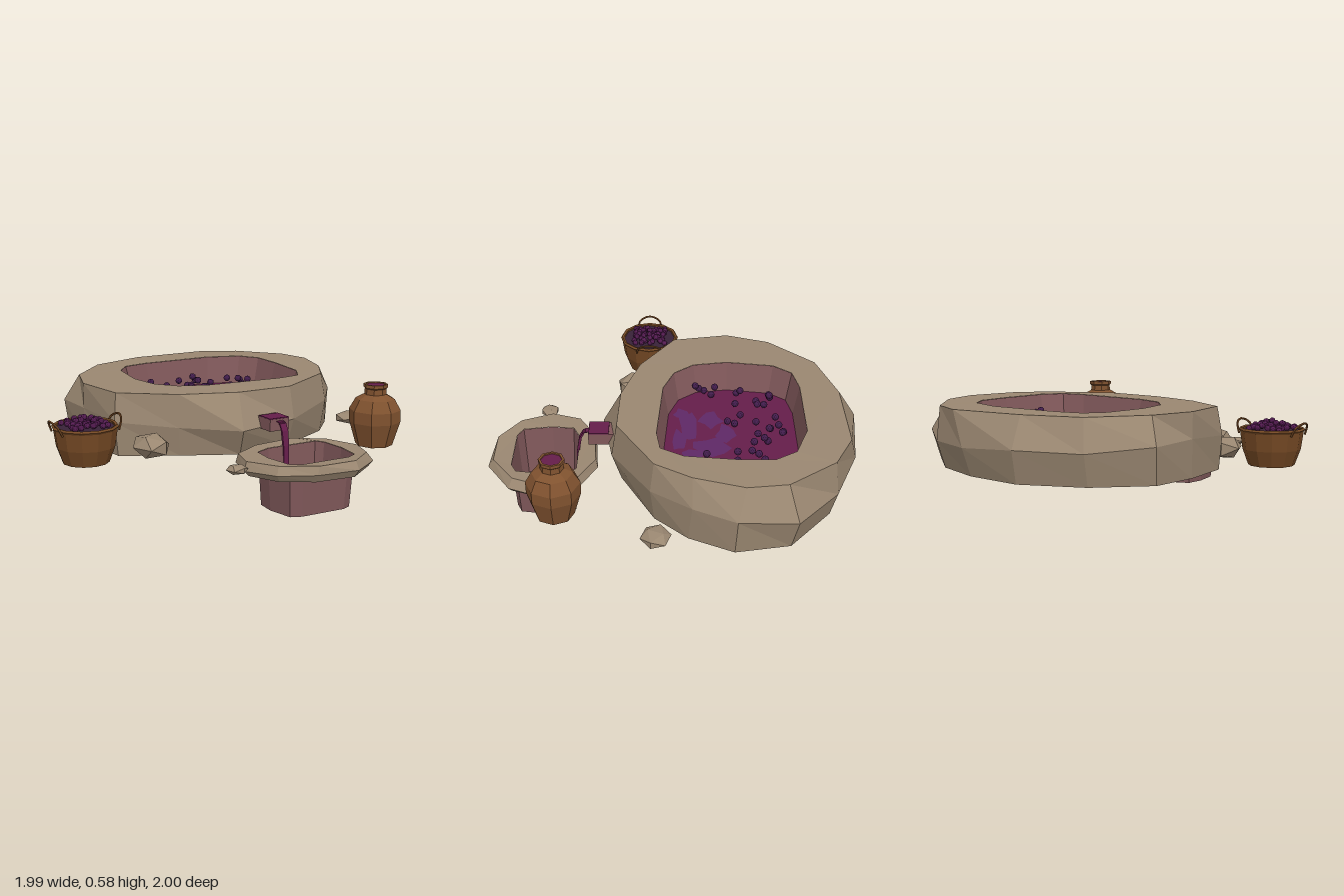
import * as THREE from 'three';

const mat = (name, color, side = THREE.DoubleSide) =>
  new THREE.MeshStandardMaterial({ name, color, side, flatShading: true });

// Joins [x, y, z] loops of equal length; optionally closes the last one.
function loft(loops, cap = false) {
  const pos = [];
  const n = loops[0].length;
  for (let k = 0; k + 1 < loops.length; k++) {
    for (let i = 0; i < n; i++) {
      const j = (i + 1) % n;
      const a = loops[k][i], b = loops[k][j], c = loops[k + 1][j], d = loops[k + 1][i];
      pos.push(...a, ...d, ...c, ...a, ...c, ...b);
    }
  }
  if (cap) {
    const last = loops[loops.length - 1];
    const mid = [0, 1, 2].map(q => last.reduce((s, p) => s + p[q], 0) / n);
    last.forEach((p, i) => pos.push(...mid, ...last[(i + 1) % n], ...p));
  }
  const g = new THREE.BufferGeometry();
  g.setAttribute('position', new THREE.Float32BufferAttribute(pos, 3));
  g.computeVertexNormals();
  return g;
}

// Lifts a flat [x, z] outline to a height, with a little unevenness.
const at = (outline, y, wobble = 0) =>
  outline.map(([x, z], i) => [x, y + wobble * Math.sin(i * 5.3), z]);
const scaled = (outline, s, cx, cz) =>
  outline.map(([x, z]) => [cx + (x - cx) * s, cz + (z - cz) * s]);

function seeded(seed) {
  return () => (seed = (seed * 16807) % 2147483647) / 2147483647;
}

export function createModel() {
  const root = new THREE.Group();
  root.name = 'winePress';
  const stone = mat('stone', 0x9a8771);
  const plaster = mat('basinPlaster', 0x80585a);
  const juice = mat('juice', 0x651d4a);
  const foam = mat('juiceSheen', 0x5e2866);
  const grape = mat('darkGrape', 0x421d4c);
  const redGrape = mat('redGrape', 0x551c52);
  const clay = mat('clay', 0x80522f);
  const wicker = mat('wicker', 0x754924);
  const shade = mat('basketFilling', 0x382238);

  const add = (name, geometry, material, x = 0, y = 0, z = 0, parent = root) => {
    const m = new THREE.Mesh(geometry, material);
    m.name = name;
    m.position.set(x, y, z);
    parent.add(m);
    return m;
  };

  // Treading vat: an open-bottomed stone ring with a plastered basin
  const vatBottom = [[0, -.96], [.35, -.92], [.66, -.8], [.92, -.58], [.97, -.3], [.86, -.07], [.7, .1],
    [.35, .28], [.02, .32], [-.27, .18], [-.56, .02], [-.6, -.3], [-.58, -.58], [-.34, -.82]];
  const vatMid = [[-.01, -1], [.37, -.96], [.69, -.83], [.96, -.61], [.99, -.31], [.89, -.09], [.72, .12],
    [.36, .33], [0, .39], [-.29, .2], [-.58, .02], [-.61, -.31], [-.6, -.61], [-.35, -.86]];
  const vatTop = [[.02, -.9], [.48, -.91], [.68, -.81], [.87, -.56], [.9, -.35], [.82, -.09], [.7, .1],
    [.35, .3], [.03, .29], [-.28, .19], [-.56, 0], [-.61, -.31], [-.53, -.55], [-.3, -.8]];
  const vatInner = [[-.03, -.69], [.4, -.69], [.59, -.62], [.66, -.51], [.66, -.32], [.63, -.05], [.56, .07],
    [.42, .09], [-.02, .06], [-.18, 0], [-.27, -.11], [-.3, -.3], [-.26, -.56], [-.18, -.66]];
  const vatFloor = scaled(vatInner, 0.9, .18, -.3);
  add('vatStone', loft([at(vatBottom, .21), at(vatMid, .385, .03), at(vatTop, .55, .004), at(vatInner, .55)]), stone);
  add('vatBasin', loft([at(vatInner, .549), at(vatFloor, .355)], true), plaster);
  add('vatJuice', loft([at(scaled(vatInner, .917, .18, -.3), .39)], true), juice);

  // Purple patches on the juice: [x, z, width, depth]
  [[.2, -.28, .09, .05], [.06, -.2, .08, .06], [.32, -.2, .08, .1], [.12, -.08, .13, .05],
    [.42, -.1, .08, .06], [.26, -.03, .1, .04], [.0, -.04, .05, .04]].forEach(([x, z, w, d], k) => {
    const blob = Array.from({ length: 9 }, (_, i) => {
      const a = i / 9 * Math.PI * 2, r = 1 + .25 * Math.sin(i * 3.7 + k);
      return [x + Math.cos(a) * w * r, z + Math.sin(a) * d * r];
    });
    add('juiceSheen', loft([at(blob, .394)], true), foam);
  });

  // Loose grapes heaped on the juice, [x, z] in hundredths
  const berry = new THREE.IcosahedronGeometry(.02, 1);
  const loose = [[-15, -54], [-13, -53], [-8, -53], [-5, -50], [-1, -46], [-11, -46], [-15, -35], [-13, -37],
    [-6, -34], [-19, -23], [-18, -21], [-20, -14], [-18, -12], [-20, -17], [12, -55], [20, -59], [25, -58],
    [22, -56], [19, -52], [23, -51], [29, -50], [30, -48], [19, -44], [24, -45], [10, -36], [12, -33],
    [14, -29], [38, -42], [40, -41], [47, -44], [53, -50], [50, -47], [47, -33], [49, -33], [47, -17],
    [51, -14], [53, -9], [57, -12], [58, -15], [60, -13], [47, -11]];
  loose.forEach(([x, z], i) => add('looseGrape', berry, grape, x / 100, .41 + (i * 2 % 5) * .014, z / 100));

  // Spout and the stream curving down from it: [y, z, half width, half depth]
  add('spout', new THREE.BoxGeometry(.12, .064, .21), plaster, .18, .385, .355);
  add('spoutJuice', new THREE.BoxGeometry(.118, .006, .108), juice, .18, .419, .404);
  const stream = [[.41, .45, .02, .006], [.405, .485, .02, .007], [.37, .506, .019, .008],
    [.29, .52, .017, .008], [.17, .526, .015, .008]].map(([y, z, w, d]) =>
    [[.18 - w, y, z - d], [.18 + w, y, z - d], [.18 + w, y - d, z + d], [.18 - w, y - d, z + d]]);
  add('juiceStream', loft(stream, true), juice);

  // Collecting vat with a deep tub
  const poolMid = [[.3, .41], [.47, .5], [.555, .7], [.49, .87], [.3, 1], [.06, .98], [-.11, .88],
    [-.19, .7], [-.13, .52], [.03, .43]];
  const poolTop = [[.29, .42], [.45, .51], [.52, .69], [.46, .85], [.3, .97], [.08, .97], [-.09, .86],
    [-.17, .69], [-.12, .53], [.04, .44]];
  const poolInner = [[.37, .52], [.4, .56], [.41, .7], [.39, .84], [.33, .87], [.05, .87], [-.01, .84],
    [-.035, .68], [-.02, .56], [.07, .52]];
  const poolBottom = scaled(poolMid, .92, .18, .7);
  add('poolStone', loft([at(poolBottom, .212), at(poolMid, .245, .008), at(poolTop, .29, .006), at(poolInner, .285)]), stone);
  add('poolTub', loft([at(poolInner, .284), at(scaled(poolInner, .92, .19, .7), .003, .003)], true), plaster);

  // Scattered rocks: [x, y, z, half sizes, turn]
  [[-.465, .3, .22, .103, .067, .123, .5], [.915, .265, .09, .091, .036, .08, 1.2],
    [-.24, .262, .715, .058, .026, .055, .3]].forEach(([x, y, z, a, b, c, turn]) => {
    const g = new THREE.IcosahedronGeometry(1, 0);
    g.rotateY(turn).scale(a, b, c);
    add('rock', g, stone, x, y, z);
  });

  const lathe = (points, sides) =>
    new THREE.LatheGeometry(points.map(([r, y]) => new THREE.Vector2(r, y)), sides);

  // Clay jar filled with juice
  const jar = new THREE.Group();
  jar.name = 'jar';
  jar.position.set(.7, 0, .605);
  root.add(jar);
  add('jarBody', lathe([[0, .245], [.1, .245], [.139, .375], [.139, .44], [.105, .5], [.06, .525],
    [.058, .555], [.066, .562], [.066, .58], [.054, .58], [.05, .555]], 8), clay, 0, 0, 0, jar);
  add('jarJuice', new THREE.CylinderGeometry(.054, .05, .008, 8), juice, 0, .57, 0, jar);

  // Wicker basket with grapes
  const basket = new THREE.Group();
  basket.name = 'basket';
  basket.position.set(-.805, 0, .15);
  root.add(basket);
  add('basketBody', lathe([[0, .245], [.122, .245], [.153, .33], [.168, .435], [.152, .435], [.14, .4]], 12),
    wicker, 0, 0, 0, basket);
  const rim = add('basketRim', new THREE.TorusGeometry(.163, .011, 5, 12), wicker, 0, .433, 0, basket);
  rim.rotation.x = Math.PI / 2;
  add('basketFilling', new THREE.CylinderGeometry(.155, .145, .01, 12), shade, 0, .426, 0, basket);
  for (const s of [-1, 1]) {
    const path = new THREE.CatmullRomCurve3([[.155, .41, -.075], [.175, .455, -.06], [.191, .477, 0],
      [.175, .455, .06], [.155, .41, .075]].map(([x, y, z]) => new THREE.Vector3(s * x, y, z)));
    add('basketHandle', new THREE.TubeGeometry(path, 10, .006, 5), wicker, 0, 0, 0, basket);
  }
  const rnd = seeded(77);
  const smallBerry = new THREE.IcosahedronGeometry(.016, 1);
  for (let i = 0; i < 49; i++) {
    const x = ((i % 7) - 3) * .028 + (rnd() - .5) * .022;
    const z = (Math.floor(i / 7) - 3) * .028 + (rnd() - .5) * .022;
    const mound = Math.max(.15, 1.2 - Math.hypot(x, z) / .12);
    add('basketGrape', smallBerry, redGrape, x, .438 + (.3 + .7 * rnd()) * .042 * mound, z, basket);
  }

  return root;
}
